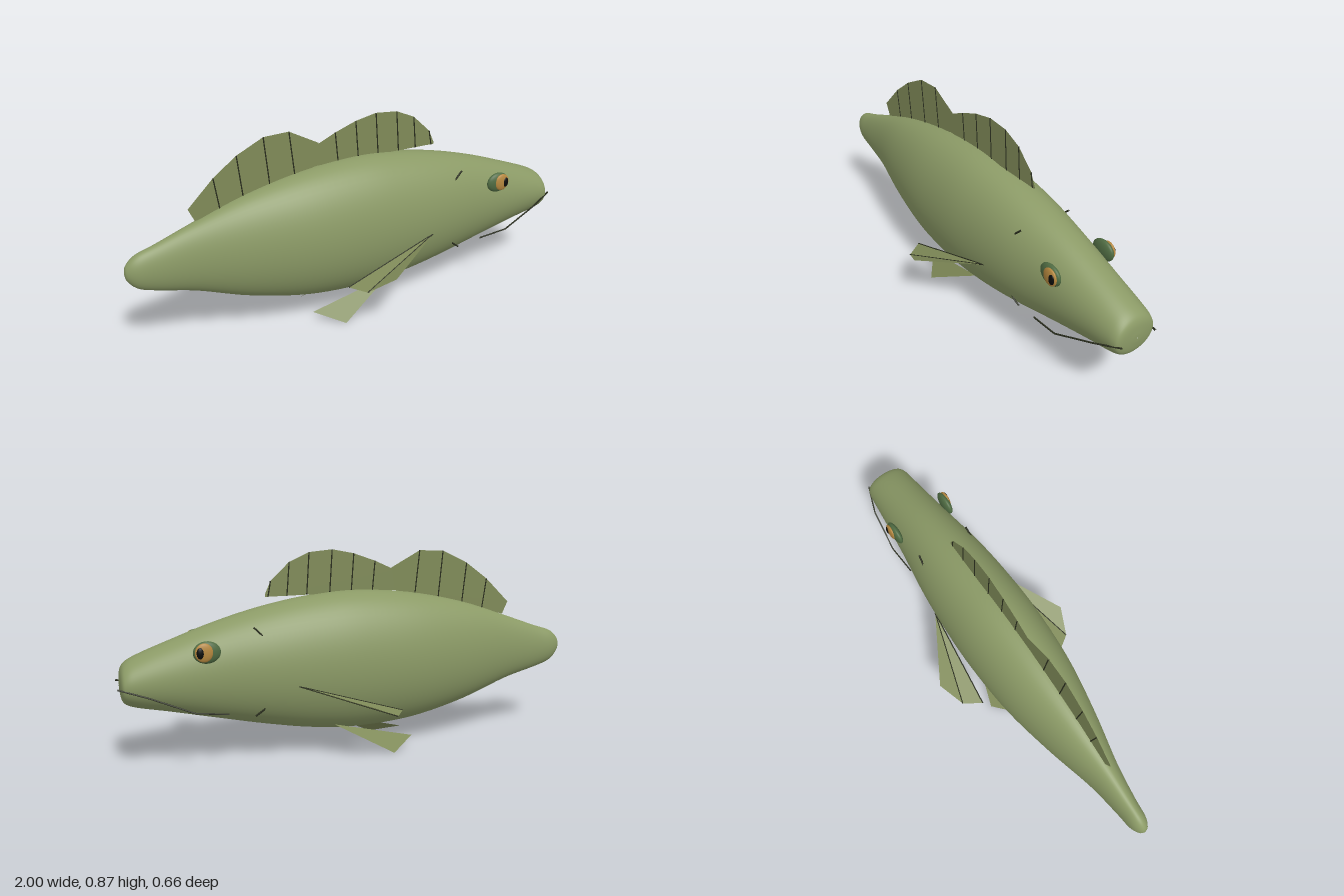
import * as THREE from 'three';

const paint = (color, side = THREE.FrontSide, flatShading = false) =>
  new THREE.MeshStandardMaterial({ color, side, flatShading });
const skin = paint(0x8b9a66);
const finSkin = paint(0x7f8a58, THREE.DoubleSide, true);
const dark = paint(0x2a2e1e);
const lidGreen = paint(0x4f6b42);
const amber = paint(0xb5873e);
const black = paint(0x0c0c0a);
const V = (x, y, z = 0) => new THREE.Vector3(x, y, z);

function add(parent, name, geometry, material) {
  const mesh = new THREE.Mesh(geometry, material);
  mesh.name = name;
  parent.add(mesh);
  return mesh;
}

// Thin tube through points joined by straight segments
function line(points, radius) {
  const path = new THREE.CurvePath();
  for (let i = 1; i < points.length; i++) path.add(new THREE.LineCurve3(points[i - 1], points[i]));
  return new THREE.TubeGeometry(path, 12 * (points.length - 1), radius, 6, false);
}

// Flat fan of triangles around the first point
function fan(points) {
  const index = [];
  for (let i = 1; i < points.length - 1; i++) index.push(0, i, i + 1);
  const g = new THREE.BufferGeometry().setFromPoints(points);
  g.setIndex(index);
  g.computeVertexNormals();
  return g;
}

// Elliptical body lofted along x; sections are [x, top, bottom, half width]
function bodyGeometry() {
  const sections = [
    [-1, 0.387, 0.383, 0.002], [-0.99, 0.42, 0.35, 0.02], [-0.95, 0.455, 0.31, 0.038],
    [-0.87, 0.482, 0.283, 0.046], [-0.72, 0.537, 0.243, 0.068], [-0.5, 0.613, 0.165, 0.12],
    [-0.25, 0.668, 0.108, 0.166], [0, 0.69, 0.092, 0.183], [0.2, 0.677, 0.107, 0.18],
    [0.4, 0.643, 0.143, 0.166], [0.6, 0.59, 0.188, 0.139], [0.8, 0.52, 0.235, 0.116],
    [0.91, 0.478, 0.259, 0.105], [0.96, 0.452, 0.276, 0.098], [0.98, 0.425, 0.297, 0.082],
    [0.987, 0.385, 0.335, 0.03], [0.988, 0.362, 0.358, 0.002],
  ];
  const heights = new THREE.CatmullRomCurve3(sections.map(([x, t, b]) => V(x, t, b)), false, 'catmullrom', 0.5);
  const widths = new THREE.CatmullRomCurve3(sections.map(([x, , , w]) => V(x, w)), false, 'catmullrom', 0.5);
  const rings = (sections.length - 1) * 5, sides = 56;
  const pos = [], index = [];
  for (let i = 0; i <= rings; i++) {
    const p = heights.getPoint(i / rings), w = widths.getPoint(i / rings).y;
    for (let j = 0; j < sides; j++) {
      const a = (j / sides) * Math.PI * 2;
      pos.push(p.x, (p.y + p.z) / 2 + ((p.y - p.z) / 2) * Math.cos(a), w * Math.sin(a));
      if (i === rings) continue;
      const k = i * sides + j, n = i * sides + ((j + 1) % sides);
      index.push(k, n, k + sides, n, n + sides, k + sides);
    }
  }
  const g = new THREE.BufferGeometry();
  g.setAttribute('position', new THREE.Float32BufferAttribute(pos, 3));
  g.setIndex(index);
  g.computeVertexNormals();
  return g;
}

// Upright fin on the back with a spine below each rim point
function dorsalFin(name, base, rim, lean) {
  const group = new THREE.Group();
  group.name = name;
  const outline = [base[0], ...rim, base[1]].map(([x, y]) => new THREE.Vector2(x, y));
  add(group, 'finWeb', new THREE.ShapeGeometry(new THREE.Shape(outline)), finSkin);
  const [[x0, y0], [x1, y1]] = base;
  for (const [x, y] of rim.slice(1, -1)) {
    const foot = x + lean;
    const footY = y0 + ((y1 - y0) * (foot - x0)) / (x1 - x0);
    add(group, 'finSpine', line([V(x, y), V(foot, footY)], 0.0028), dark);
  }
  return group;
}

function eye(s) {
  const group = new THREE.Group();
  group.name = 'eye';
  const ball = (name, x, y, z, rx, ry, rz, material) => {
    const m = add(group, name, new THREE.SphereGeometry(1, 28, 18), material);
    m.position.set(x, y, z * s);
    m.scale.set(rx, ry, rz);
  };
  ball('eyeSocket', 0.655, 0.495, 0.131, 0.055, 0.045, 0.019, lidGreen);
  ball('iris', 0.668, 0.497, 0.145, 0.036, 0.038, 0.011, amber);
  ball('pupil', 0.683, 0.497, 0.151, 0.015, 0.023, 0.008, black);
  return group;
}

export function createModel() {
  const fish = new THREE.Group();
  fish.name = 'fish';
  add(fish, 'body', bodyGeometry(), skin);

  fish.add(dorsalFin('rearDorsalFin', [[-0.705, 0.545], [-0.18, 0.68]],
    [[-0.73, 0.6], [-0.62, 0.71], [-0.52, 0.785], [-0.405, 0.842], [-0.295, 0.847], [-0.165, 0.778]], 0.02));
  fish.add(dorsalFin('frontDorsalFin', [[-0.18, 0.68], [0.39, 0.68]],
    [[-0.18, 0.768], [-0.09, 0.81], [0.005, 0.845], [0.1, 0.865], [0.2, 0.857], [0.285, 0.82], [0.365, 0.745], [0.39, 0.69]], 0.012));

  // Paired parts on both flanks
  for (const s of [1, -1]) {
    const side = new THREE.Group();
    side.name = s > 0 ? 'frontFlank' : 'backFlank';
    fish.add(side);
    side.add(eye(s));

    const pectoral = [V(0.295, 0.335, 0.17 * s), V(0.02, 0.26, 0.33 * s), V(-0.09, 0.205, 0.286 * s), V(-0.14, 0.205, 0.211 * s)];
    add(side, 'pectoralFin', fan(pectoral), finSkin);
    for (const tip of pectoral.slice(2)) add(side, 'pectoralRay', line([pectoral[0], tip], 0.0025), dark);

    add(side, 'pelvicFin', fan([V(0.12, 0.13, 0.082 * s), V(-0.125, 0, 0.16 * s), V(-0.24, 0.04, 0.07 * s)]), finSkin);

    add(side, 'mouthLine', line([V(0.998, 0.36, 0.082 * s), V(0.885, 0.328, 0.124 * s),
      V(0.71, 0.255, 0.144 * s), V(0.575, 0.235, 0.132 * s)], 0.0035), dark);

    // Gill arc, sunk into the body between its ends
    add(side, 'gillArc', line([V(0.465, 0.58, 0.119 * s), V(0.43, 0.545, 0.123 * s), V(0.41, 0.4, 0.13 * s),
      V(0.43, 0.24, 0.126 * s), V(0.465, 0.213, 0.12 * s)], 0.004), dark);
  }
  return fish;
}
